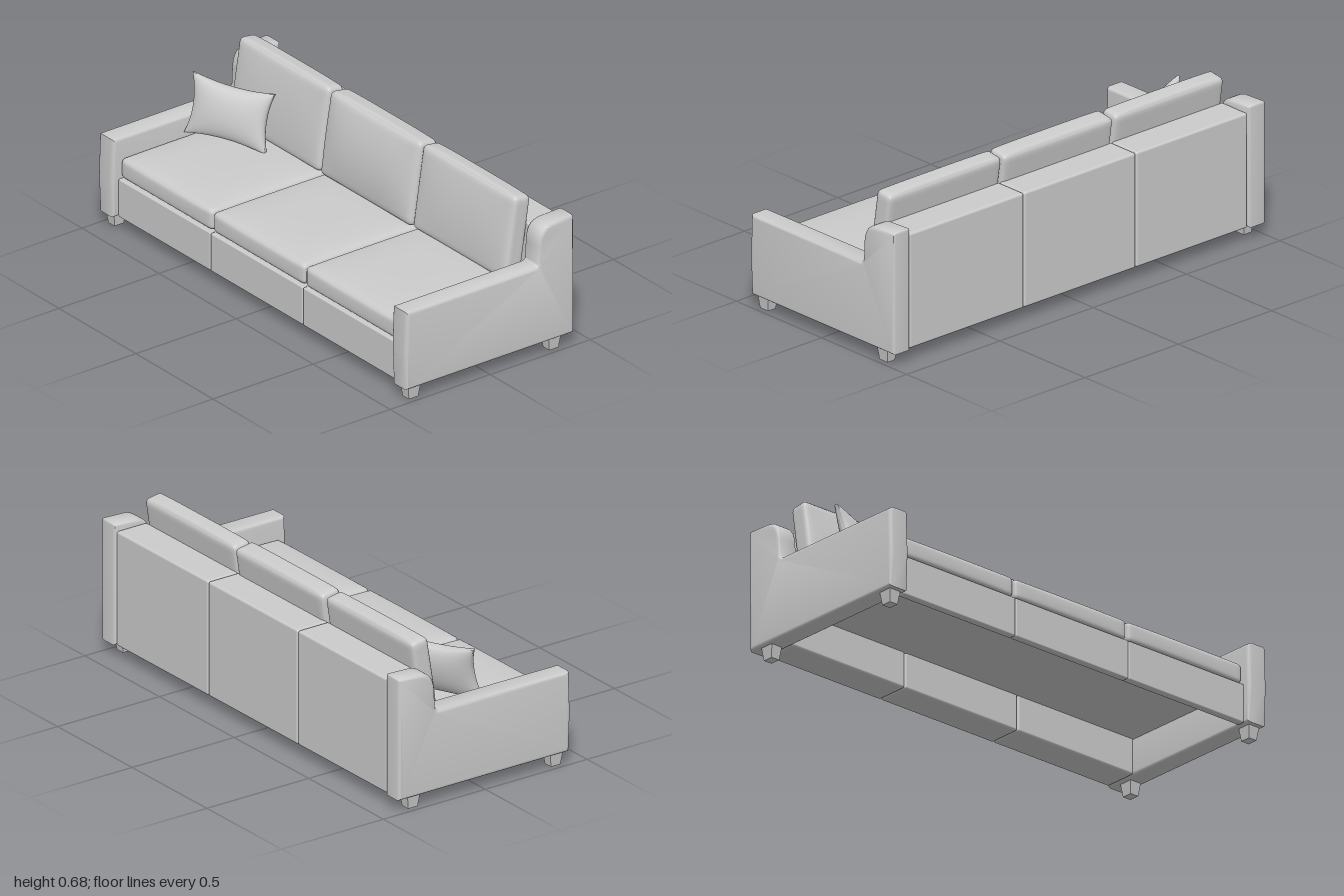
import * as THREE from 'three';
import { mergeVertices, toCreasedNormals } from 'three/addons/utils/BufferGeometryUtils.js';
import { RoundedBoxGeometry } from 'three/addons/geometries/RoundedBoxGeometry.js';

const fabric = new THREE.MeshStandardMaterial({ color: 0xcccccc });

function add(parent, name, geometry, x = 0, y = 0, z = 0) {
  const mesh = new THREE.Mesh(geometry, fabric);
  mesh.name = name;
  mesh.position.set(x, y, z);
  parent.add(mesh);
  return mesh;
}

// Subdivided box whose vertices are moved by rule(p, u, v, w), with u, v, w in -1..1
function softBox(w, h, d, n, rule) {
  let g = new THREE.BoxGeometry(2, 2, 2, n, n, n);
  g.deleteAttribute('uv');
  g.deleteAttribute('normal');
  g = mergeVertices(g);
  const pos = g.attributes.position;
  const half = new THREE.Vector3(w / 2, h / 2, d / 2);
  const ease = t => Math.sign(t) * (1 - (1 - Math.abs(t)) ** 2); // denser near the edges
  const p = new THREE.Vector3();
  for (let i = 0; i < pos.count; i++) {
    const [u, v, s] = [pos.getX(i), pos.getY(i), pos.getZ(i)].map(ease);
    p.set(u, v, s).multiply(half);
    rule(p, u, v, s, half);
    pos.setXYZ(i, p.x, p.y, p.z);
  }
  g.computeVertexNormals();
  return g;
}

// Upholstery cushion: rounded edges and a crown on the top (y) and front (z)
function cushion(w, h, d, r, crownY, crownZ) {
  const inner = new THREE.Vector3(), low = new THREE.Vector3(), high = new THREE.Vector3();
  return softBox(w, h, d, 18, (p, u, v, s, half) => {
    high.copy(half).subScalar(r);
    low.copy(high).negate();
    inner.copy(p).clamp(low, high);
    p.sub(inner).setLength(r).add(inner);
    if (v > 0) p.y += crownY * v * (1 - u ** 4) * (1 - s ** 4);
    if (s > 0) p.z += crownZ * s * (1 - u ** 4) * (1 - v * v);
  });
}

// Throw pillow: thick middle, thin rim, concave sides and pulled-out corners
function pillow(w, h, d) {
  return softBox(w, h, d, 18, (p, u, v, s) => {
    p.x *= 1 - 0.13 * (1 - v * v);
    p.y *= 1 - 0.15 * (1 - u * u);
    p.z *= 0.14 + 0.86 * Math.sqrt((1 - u * u) * (1 - v * v));
  });
}

// Arm panel: low front, raised shoulder at the back (shape x is -z)
function armGeometry() {
  const bevel = 0.016, width = 0.095;
  const s = new THREE.Shape();
  s.moveTo(-0.415, 0.055);
  s.lineTo(-0.422, 0.22);
  s.lineTo(-0.416, 0.4);
  s.lineTo(0.222, 0.402);
  s.quadraticCurveTo(0.24, 0.402, 0.241, 0.42);
  s.lineTo(0.243, 0.485);
  s.bezierCurveTo(0.246, 0.54, 0.266, 0.57, 0.31, 0.575);
  s.lineTo(0.412, 0.579);
  s.quadraticCurveTo(0.421, 0.579, 0.421, 0.569);
  s.lineTo(0.421, 0.055);
  s.closePath();
  const g = new THREE.ExtrudeGeometry(s, {
    depth: width - 2 * bevel, curveSegments: 8, bevelEnabled: true,
    bevelSize: bevel, bevelThickness: bevel, bevelOffset: -bevel, bevelSegments: 4,
  });
  g.translate(0, 0, bevel - width / 2);
  g.rotateY(Math.PI / 2);
  return toCreasedNormals(g, 0.7);
}

// Tapered square foot
function footGeometry() {
  const g = new THREE.CylinderGeometry(0.031 * Math.SQRT2, 0.023 * Math.SQRT2, 0.058, 4);
  g.rotateY(Math.PI / 4);
  g.scale(0.87, 1, 1);
  return toCreasedNormals(g, 0.3);
}

export function createModel() {
  const sofa = new THREE.Group();
  sofa.name = 'sofa';

  // Arms and feet
  const arm = armGeometry(), foot = footGeometry();
  for (const side of [1, -1]) {
    const label = side > 0 ? 'left' : 'right';
    add(sofa, label + 'Arm', arm, side * 0.9525);
    add(sofa, label + 'FrontFoot', foot, side * 0.955, 0.029, 0.364);
    add(sofa, label + 'BackFoot', foot, side * 0.955, 0.029, -0.337);
  }

  // Three bays: back panel, front rail, seat and back cushions
  const edges = [-0.907, -0.309, 0.291, 0.907];
  ['right', 'middle', 'left'].forEach((label, i) => {
    const bay = new THREE.Group();
    bay.name = label + 'Bay';
    sofa.add(bay);
    const w = edges[i + 1] - edges[i], x = (edges[i] + edges[i + 1]) / 2;
    const isMiddle = i === 1;

    add(bay, 'backPanel', new RoundedBoxGeometry(w - 0.002, 0.495, 0.15, 3, 0.01), x, 0.303, -0.34);
    add(bay, 'frontRail', new RoundedBoxGeometry(w - 0.002, 0.168, 0.035, 3, 0.006), x, 0.139, 0.374);
    add(bay, 'seatDeck', new THREE.BoxGeometry(w, 0.012, 0.65), x, 0.216, 0.045);
    add(bay, 'seatCushion', cushion(w - 0.006, 0.09, 0.63, 0.02, 0.016, 0.004), x, 0.27, 0.068);

    const depth = isMiddle ? 0.095 : 0.085;
    const back = add(bay, 'backCushion',
      cushion(w - 0.012, 0.36, depth, 0.022, 0.005, isMiddle ? 0.026 : 0.014),
      x - (i === 2 ? 0.006 : 0), 0.492, -0.22);
    back.rotation.x = -0.15;
  });

  // Throw pillow leaning in the right corner
  const throwPillow = add(sofa, 'throwPillow', pillow(0.37, 0.25, 0.1), -0.741, 0.448, -0.04);
  throwPillow.rotation.set(-0.25, 0.42, -0.03, 'YXZ');

  return sofa;
}
